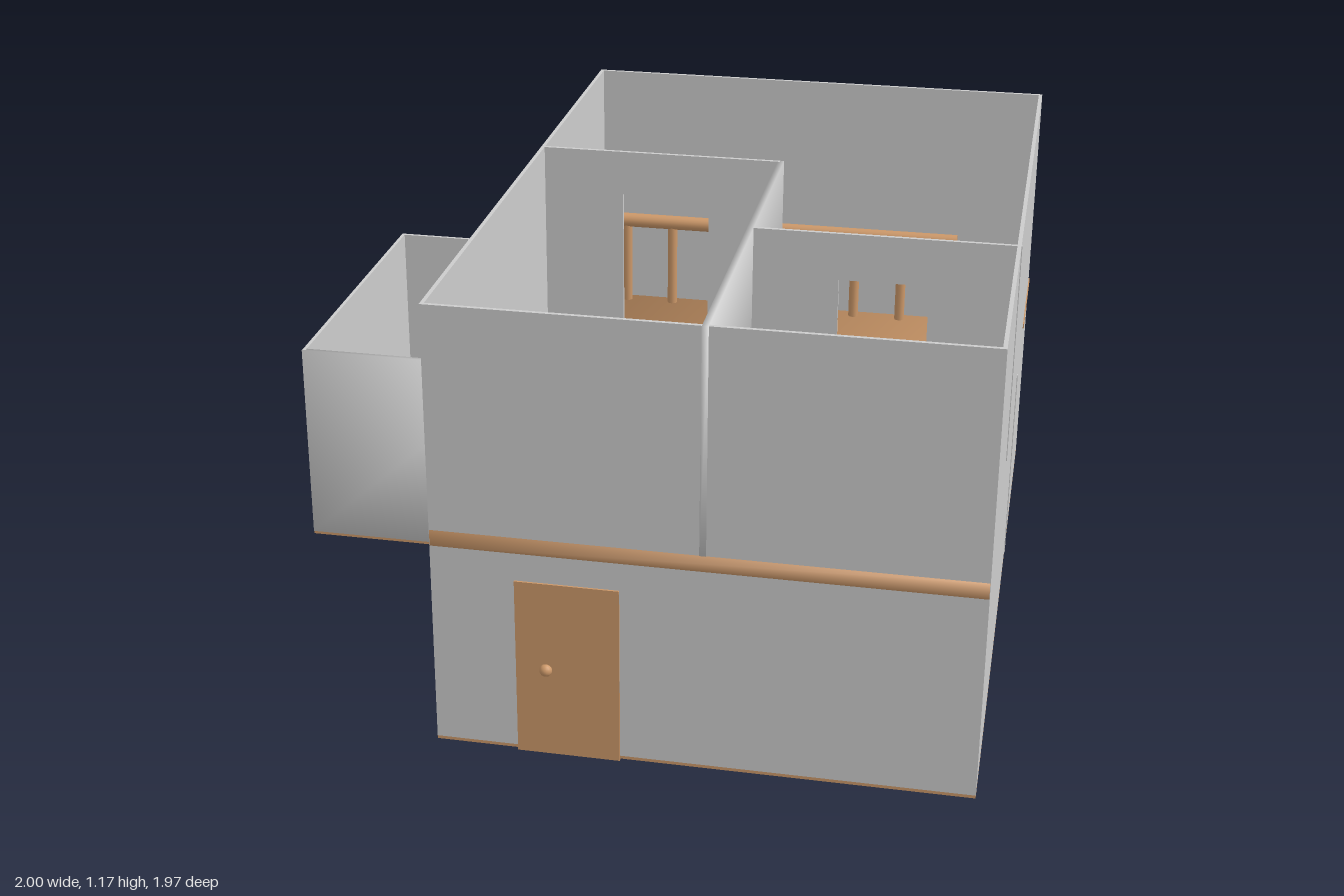
import * as THREE from 'three';

export function createModel() {
  const house = new THREE.Group();
  house.name = 'house';
  const mat = (name, color, side = THREE.FrontSide) => {
    const m = new THREE.MeshStandardMaterial({ color, side });
    m.name = name;
    return m;
  };
  const plaster = mat('plasterGrey', 0xcccccc, THREE.DoubleSide);
  const wood = mat('wood', 0xcc9869, THREE.DoubleSide);
  const blanketGrey = mat('blanketGrey', 0x737373);
  const dark = mat('darkGrey', 0x4a4a4a);

  const add = (name, geo, material, x = 0, y = 0, z = 0, parent = house) => {
    const m = new THREE.Mesh(geo, material);
    m.name = name;
    m.position.set(x, y, z);
    parent.add(m);
    return m;
  };
  // Box given by its limits on each axis
  const box = (name, material, x0, x1, y0, y1, z0, z1, parent = house) =>
    add(name, new THREE.BoxGeometry(x1 - x0, y1 - y0, z1 - z0), material,
      (x0 + x1) / 2, (y0 + y1) / 2, (z0 + z1) / 2, parent);
  // Box whose normals point out of the corners, for soft shading
  const softBox = (...args) => {
    const m = box(...args);
    const p = m.geometry.attributes.position, n = m.geometry.attributes.normal;
    const k = 1 / Math.sqrt(3);
    for (let i = 0; i < p.count; i++)
      n.setXYZ(i, k * Math.sign(p.getX(i)), k * Math.sign(p.getY(i)), k * Math.sign(p.getZ(i)));
    return m;
  };

  const T = 0.01, L = -1, M = -0.34, R = 0.993, B = -0.978, F = 0.968;
  const G = 0.012, UP = 0.59, TOP = 1.172, DOOR = 0.46;

  // Wall running from a to b along x (or z), with a doorway from d0 to d1
  const doorWall = (name, axis, at, a, b, y0, y1, d0, d1) => {
    const s = new THREE.Shape([[a, y0], [d0, y0], [d0, y0 + DOOR], [d1, y0 + DOOR],
      [d1, y0], [b, y0], [b, y1], [a, y1]].map(p => new THREE.Vector2(...p)));
    const g = new THREE.ExtrudeGeometry(s, { depth: T, bevelEnabled: false });
    g.translate(0, 0, -T / 2);
    if (axis === 'z') g.rotateY(-Math.PI / 2);
    return add(name, g, plaster, axis === 'z' ? at : 0, 0, axis === 'z' ? 0 : at);
  };

  // Ground floors
  box('mainFloor', wood, M, R, 0.004, G, B, F);
  box('annexFloor', wood, L, M, 0.004, G, B, -0.01);

  // Outer walls
  box('frontWall', plaster, M, R, G, TOP, F - T, F);
  box('backWall', plaster, M, R, G, TOP, B, B + T);
  box('leftWall', plaster, R - T, R, G, TOP, B, F);
  doorWall('rightWall', 'z', M + T / 2, B, F, G, TOP, B + T, -0.67);
  box('annexBackWall', plaster, L, M, G, UP, B, B + T);
  box('annexSideWall', plaster, L, L + T, G, UP, B, -0.01);
  softBox('annexFrontWall', plaster, L - 0.001, M, G, UP, -0.021, -0.009);

  // Inner walls on both storeys
  doorWall('hallWall', 'x', -0.585, M, R - T, G, 0.55, -0.33, -0.115);
  doorWall('kitchenWall', 'x', -0.28, 0.33, R + 0.002, G, 0.57, 0.77, R - T);
  doorWall('bedroomWall', 'x', -0.21, M + T, 0.33, UP, TOP, -0.11, 0.13);
  doorWall('bathroomWall', 'x', 0.315, 0.325, R + 0.002, UP, TOP, 0.55, 0.775);
  softBox('upperDividingWall', plaster, 0.317, 0.333, UP, TOP, -0.215, F + 0.002);

  // Upper floor slab, its edge shows on the front
  softBox('upperFloor', wood, M + 0.002, R - 0.001, 0.55, UP, -0.605, F + 0.004);

  // Front door with knob
  box('frontDoor', wood, -0.132, 0.125, 0, 0.475, F - 0.005, F + 0.005);
  add('doorKnob', new THREE.SphereGeometry(0.016, 16, 10), wood, -0.057, 0.238, F + 0.006);

  // Folded-plate staircase ending in a landing
  const steps = 10, x0 = 0.35, run = 0.0567, rise = (UP - G) / steps, t = 0.014;
  const upper = [], lower = [];
  for (let i = 0; i < steps; i++) {
    const x = x0 + i * run, y = G + i * rise;
    upper.push([x, y], [x, y + rise]);
    lower.push([x + t, i ? y - t : 0], [x + t, y + rise - t]);
  }
  upper.push([R + 0.003, UP]);
  lower.push([R + 0.003, UP - t]);
  const stairShape = new THREE.Shape([...upper, ...lower.reverse()].map(p => new THREE.Vector2(...p)));
  add('staircase', new THREE.ExtrudeGeometry(stairShape, { depth: 0.375, bevelEnabled: false }),
    wood, 0, 0, B - 0.002);

  // Landing railing
  const rail = new THREE.Group();
  rail.name = 'railing';
  house.add(rail);
  add('handrail', new THREE.CylinderGeometry(0.02, 0.02, 1.12, 20), wood, 0.23, 0.84, -0.575, rail)
    .rotation.z = Math.PI / 2;
  for (let i = 0; i < 9; i++)
    add('baluster', new THREE.CylinderGeometry(0.014, 0.014, 0.25, 12), wood,
      -0.31 + i * 0.135, 0.715, -0.575, rail);

  // Beds: mattress, blanket and pillow
  const bed = (x, y, z) => {
    const g = new THREE.Group();
    g.name = 'bed';
    g.position.set(x, y, z);
    house.add(g);
    softBox('mattress', plaster, -0.142, 0.142, 0, 0.17, -0.256, 0.256, g);
    box('blanket', blanketGrey, -0.144, 0.144, 0.03, 0.175, -0.17, 0.02, g);
    softBox('pillow', plaster, -0.077, 0.077, 0.17, 0.205, 0.14, 0.225, g);
  };
  bed(-0.802, 0, -0.315);
  bed(0.137, UP, 0.674);

  // Open wardrobe in the annex
  const wr = new THREE.Group();
  wr.name = 'wardrobe';
  house.add(wr);
  box('wardrobeBack', wood, -0.352, -0.342, G, 0.45, -0.54, -0.022, wr);
  box('wardrobeTop', wood, -0.45, -0.342, 0.438, 0.45, -0.54, -0.022, wr);
  box('wardrobeBase', wood, -0.45, -0.342, 0.003, 0.03, -0.54, -0.022, wr);
  for (let i = 0; i < 4; i++) {
    const z = -0.54 + i * 0.1687;
    box('wardrobePanel', wood, -0.45, -0.342, G, 0.45, z, z + 0.012, wr);
  }

  // Kitchen cabinet on the ground floor
  box('cabinet', plaster, 0.35, 0.55, 0, 0.22, 0.72, 0.91);

  // Nightstand with a small clock
  box('nightstand', plaster, -0.195, -0.065, UP, 0.74, 0.85, 0.922);
  add('nightstandKnob', new THREE.SphereGeometry(0.01, 12, 8), plaster, -0.13, 0.69, 0.844);
  box('clock', dark, -0.145, -0.107, 0.74, 0.765, 0.885, 0.91);

  // Bathtub with a rounded basin
  const tub = new THREE.Shape([[-0.107, -0.167], [0.107, -0.167], [0.107, 0.167], [-0.107, 0.167]]
    .map(p => new THREE.Vector2(...p)));
  const basin = new THREE.Path();
  basin.absarc(0, 0.075, 0.085, 0, Math.PI, false);
  basin.absarc(0, -0.075, 0.085, Math.PI, Math.PI * 2, false);
  basin.closePath();
  tub.holes.push(basin);
  const tubGeo = new THREE.ExtrudeGeometry(tub, { depth: 0.15, bevelEnabled: false, curveSegments: 16 });
  tubGeo.rotateX(-Math.PI / 2);
  add('bathtub', tubGeo, plaster, 0.488, UP, 0.752);
  box('bathtubBottom', plaster, 0.39, 0.586, UP, 0.63, 0.6, 0.905);

  // Toilet: bowl, rim, water and tank
  const bowl = [[0.045, 0], [0.04, 0.05], [0.08, 0.13], [0.065, 0.13], [0.05, 0.09]]
    .map(p => new THREE.Vector2(...p));
  add('toiletBowl', new THREE.LatheGeometry(bowl, 24), plaster, 0.845, UP, 0.795);
  add('toiletRim', new THREE.TorusGeometry(0.074, 0.011, 8, 24), plaster, 0.845, 0.722, 0.795)
    .rotation.x = Math.PI / 2;
  add('toiletLid', new THREE.CylinderGeometry(0.07, 0.07, 0.008, 24), blanketGrey, 0.845, 0.72, 0.795);
  softBox('toiletTank', plaster, 0.78, 0.908, 0.68, 0.85, 0.872, 0.912);

  return house;
}
